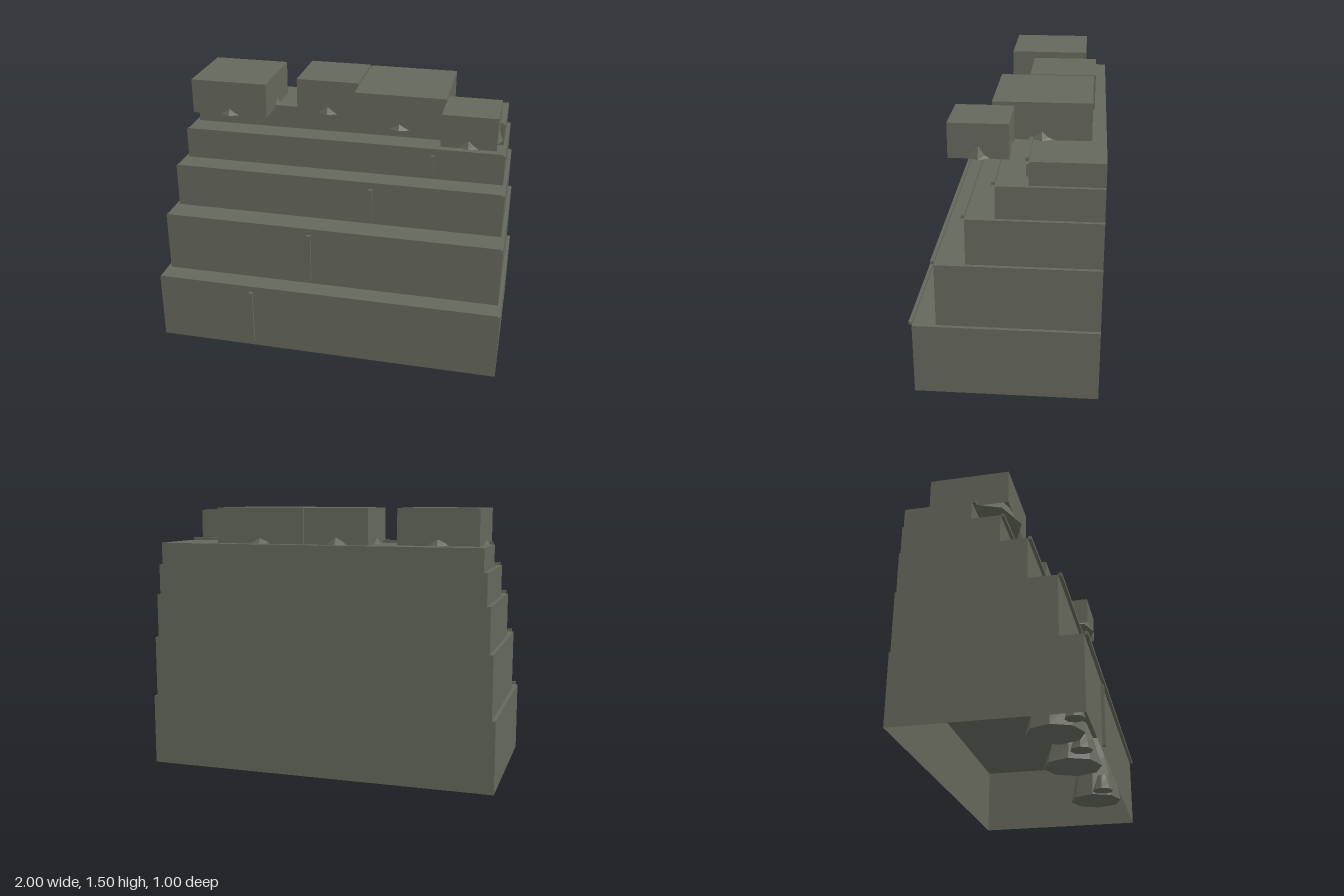
import * as THREE from 'three';

export function createModel() {
  const model = new THREE.Group();
  model.name = 'steppedCliff';
  const stone = new THREE.MeshStandardMaterial({ color: 0x65685c, side: THREE.DoubleSide, flatShading: true });
  stone.name = 'mossy grey stone';

  const add = (name, geometry) => {
    const mesh = new THREE.Mesh(geometry, stone);
    mesh.name = name;
    model.add(mesh);
    return mesh;
  };

  // Box from its limits; hollow boxes have no underside
  const block = (name, [x0, x1], [y0, y1], [z0, z1], hollow = false) => {
    const g = new THREE.BoxGeometry(x1 - x0, y1 - y0, z1 - z0);
    if (hollow) {
      const index = Array.from(g.index.array);
      index.splice(18, 6);
      g.setIndex(index);
      g.clearGroups();
    }
    g.translate((x0 + x1) / 2, (y0 + y1) / 2, (z0 + z1) / 2);
    return add(name, g);
  };

  // Faceted boulder, widest at its foot, with slightly uneven rings
  const boulder = (name, x, y, z, radius, height) => {
    const g = new THREE.CylinderGeometry(radius * 0.5, radius, height, 8, 3);
    const p = g.attributes.position;
    for (let i = 0; i < p.count; i++) {
      const t = p.getY(i) / height + 0.5;
      const a = Math.atan2(p.getZ(i), p.getX(i));
      const k = t > 0.1 && t < 0.9 ? 1 + 0.06 * Math.sin(a * 3 + t * 5) : 1;
      p.setX(i, p.getX(i) * k);
      p.setZ(i, p.getZ(i) * k);
    }
    g.computeVertexNormals();
    add(name, g).position.set(x, y + height / 2, z);
  };

  // Terraces: half width, bottom, top, front z, seam x
  const terraces = [
    [1.0, 0, 0.4, 0.478, -0.437],
    [0.98, 0.4, 0.75, 0.354, -0.115],
    [0.96, 0.75, 1.0, 0.195, 0.209],
    [0.94, 1.0, 1.175, 0.044, 0.535],
    [0.92, 1.175, 1.3, -0.122, 0.861],
  ];
  terraces.forEach(([w, y0, y1, z, seam], i) => {
    block('terrace', [-w, w], [y0, y1], [-0.5, z], i === 0);
    block('ledgeLip', [-w + 0.012, w - 0.012], [y1, y1 + 0.017], [z, z + 0.018]);
    block('frontSeam', [seam - 0.011, seam + 0.011], [y0 + 0.03, y1 - 0.03], [z, z + 0.018]);
  });

  // Top blocks, each over a boulder whose corners poke out at the foot
  const caps = [
    [[-0.876, -0.43], [-0.375, 0.071], 1.5],
    [[-0.285, 0.08], [-0.435, -0.07], 1.5],
    [[0.09, 0.603], [-0.424, 0.089], 1.5],
    [[0.6, 0.898], [-0.025, 0.277], 1.48],
  ];
  for (const [x, z, top] of caps) {
    block('topBlock', x, [1.3, top], z, true);
    const half = (x[1] - x[0]) / 2;
    boulder('topBoulder', x[0] + half, 1.302, (z[0] + z[1]) / 2, half + 0.024, (top - 1.3) * 0.9);
  }

  // Boulders and rubble inside the hollow base
  const rubble = [
    [0.48, 0.31, 0.15, 0.38], [-0.19, 0.28, 0.16, 0.25], [-0.71, 0.28, 0.15, 0.34],
    [0.28, 0.38, 0.06, 0.09], [-0.45, 0.37, 0.06, 0.1], [-0.9, 0.41, 0.05, 0.1],
  ];
  for (const [x, z, r, h] of rubble) boulder('baseBoulder', x, 0.01, z, r, h);

  return model;
}
